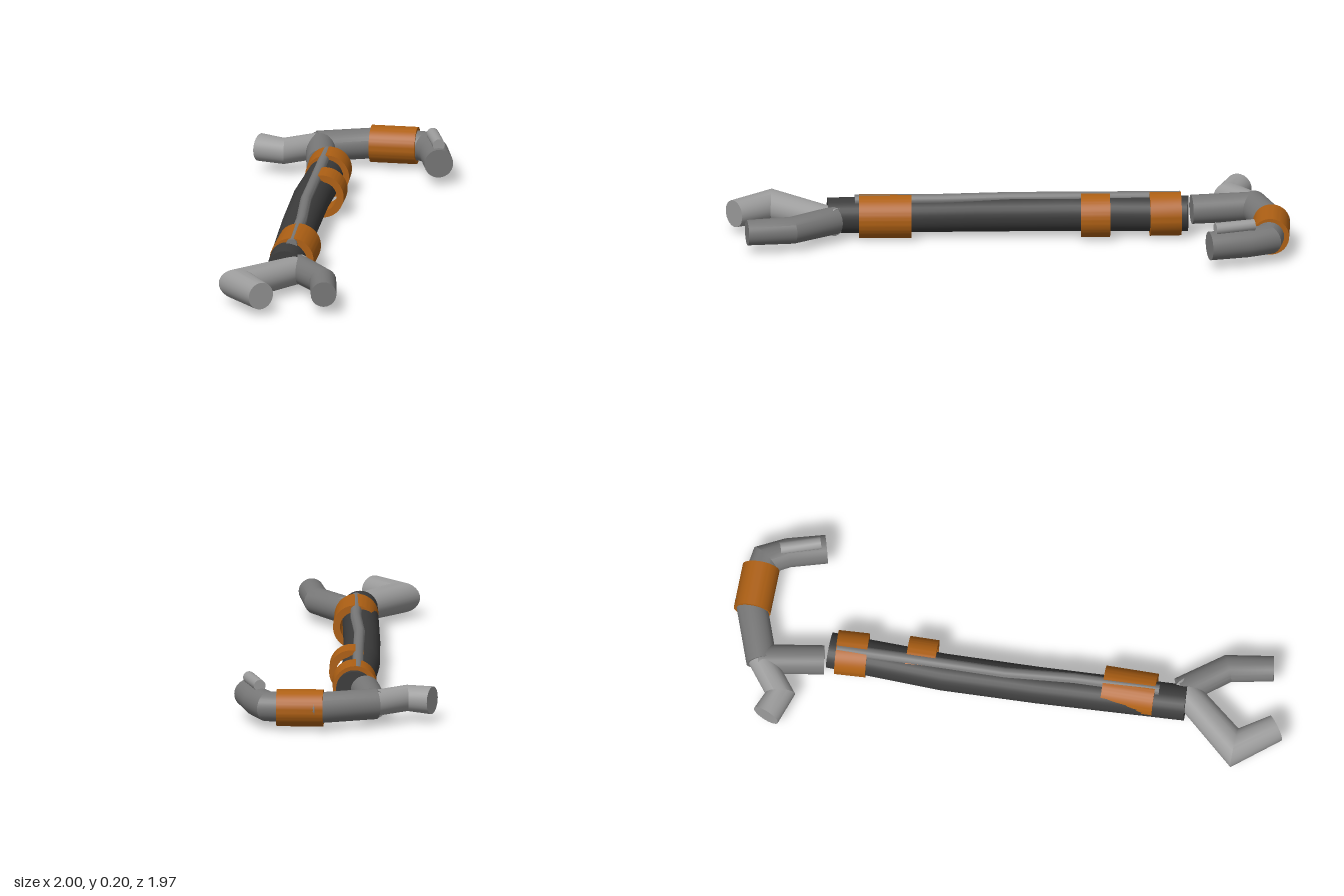
import * as THREE from 'three';
import { toCreasedNormals } from 'three/addons/utils/BufferGeometryUtils.js';

const mat = (color) => new THREE.MeshStandardMaterial({ color, roughness: 0.8 });

// Capped round pipe with mitred bends; path points are [x, z, radius] at height y
function pipe(path, y, sides = 28) {
  const n = path.length;
  const p = path.map(([x, z]) => new THREE.Vector2(x, z));
  const dirs = p.slice(1).map((q, i) => q.clone().sub(p[i]).normalize());
  const rings = path.map(([x, z, r], i) => {
    const a = dirs[Math.max(i - 1, 0)], b = dirs[Math.min(i, n - 2)];
    const d = a.clone().add(b).normalize();
    const w = r / d.dot(a);
    const ring = [];
    for (let k = 0; k <= sides; k++) {
      const t = (k / sides) * Math.PI * 2, c = Math.cos(t) * w;
      ring.push([x + d.y * c, y + Math.sin(t) * r, z - d.x * c]);
    }
    return ring;
  });
  const v = [];
  const tri = (a, b, c) => v.push(...a, ...b, ...c);
  const first = [path[0][0], y, path[0][1]];
  const last = [path[n - 1][0], y, path[n - 1][1]];
  for (let k = 0; k < sides; k++) {
    for (let i = 0; i < n - 1; i++) {
      const A = rings[i], B = rings[i + 1];
      tri(A[k], A[k + 1], B[k]);
      tri(A[k + 1], B[k + 1], B[k]);
    }
    tri(first, rings[0][k + 1], rings[0][k]);
    tri(last, rings[n - 1][k], rings[n - 1][k + 1]);
  }
  const g = new THREE.BufferGeometry();
  g.setAttribute('position', new THREE.Float32BufferAttribute(v, 3));
  return toCreasedNormals(g, 0.4);
}

// Band around a pipe, from angle a0 to a1 (degrees), as a thick curved strip
function bandGeometry(outer, inner, length, a0, a1) {
  const s = new THREE.Shape();
  const r0 = THREE.MathUtils.degToRad(a0), r1 = THREE.MathUtils.degToRad(a1);
  s.absarc(0, 0, outer, r0, r1, false);
  if (a1 - a0 >= 360) {
    s.holes.push(new THREE.Path().absarc(0, 0, inner, 0, Math.PI * 2, true));
  } else {
    s.absarc(0, 0, inner, r1, r0, true);
  }
  const g = new THREE.ExtrudeGeometry(s, { depth: length, bevelEnabled: false, curveSegments: 32 });
  g.translate(0, 0, -length / 2);
  return toCreasedNormals(g, 0.4);
}

export function createModel() {
  const group = new THREE.Group();
  const light = mat(0x9c9c9c), mid = mat(0x787878), dark = mat(0x3c3c3c), orange = mat(0xae6014);

  const add = (name, geometry, material) => {
    const m = new THREE.Mesh(geometry, material);
    m.name = name;
    group.add(m);
    return m;
  };

  // Long dark shaft, slightly bent, with a thin rail along its top
  add('shaft', pipe([[-0.63, 0.555, 0.077], [-0.2, 0.075, 0.079], [0.075, -0.22, 0.08], [0.435, -0.565, 0.077]], 0.1), dark);
  add('topRail', pipe([[-0.54, 0.48, 0.024], [-0.29, 0.21, 0.024], [-0.1, -0.02, 0.024], [0.18, -0.315, 0.024], [0.4, -0.55, 0.024]], 0.172, 16), mid);

  // Forked end
  add('forkOuterProng', pipe([[-0.55, 0.58, 0.06], [-0.915, 0.612, 0.068], [-0.942, 0.81, 0.059]], 0.093), light);
  add('forkInnerProng', pipe([[-0.572, 0.57, 0.06], [-0.603, 0.795, 0.058], [-0.715, 0.955, 0.055]], 0.095), mid);

  // Crook end: stem, curved hook and short branch
  add('crookStem', pipe([[0.41, -0.61, 0.063], [0.575, -0.84, 0.063]], 0.102), mid);
  add('crookHook', pipe([[0.555, -0.835, 0.066], [0.81, -0.715, 0.066], [0.93, -0.555, 0.064], [0.9, -0.46, 0.063], [0.82, -0.315, 0.062]], 0.102), mid);
  add('crookBranch', pipe([[0.57, -0.83, 0.056], [0.39, -0.853, 0.056], [0.342, -0.96, 0.06]], 0.105), light);
  add('hookPeg', pipe([[0.914, -0.49, 0.026], [0.835, -0.335, 0.026]], 0.178, 16), light);

  // Bands: x, z, direction x, direction z, length, outer radius, start and end angle
  const bands = [
    ['lowerClip', -0.45, 0.385, 0.7, -0.72, 0.225, 0.095, 5, 280],
    ['middleClip', 0.174, -0.265, 0.69, -0.72, 0.125, 0.094, 5, 280],
    ['upperCollar', 0.366, -0.495, 0.66, -0.75, 0.134, 0.095, 0, 360],
    ['hookCollar', 0.84, -0.665, 0.7, 0.72, 0.2, 0.08, 0, 360],
  ];
  for (const [name, x, z, dx, dz, length, r, a0, a1] of bands) {
    const b = add(name, bandGeometry(r, r - 0.03, length, a0, a1), orange);
    b.position.set(x, 0.1, z);
    b.rotation.y = Math.atan2(dx, dz);
  }
  return group;
}
